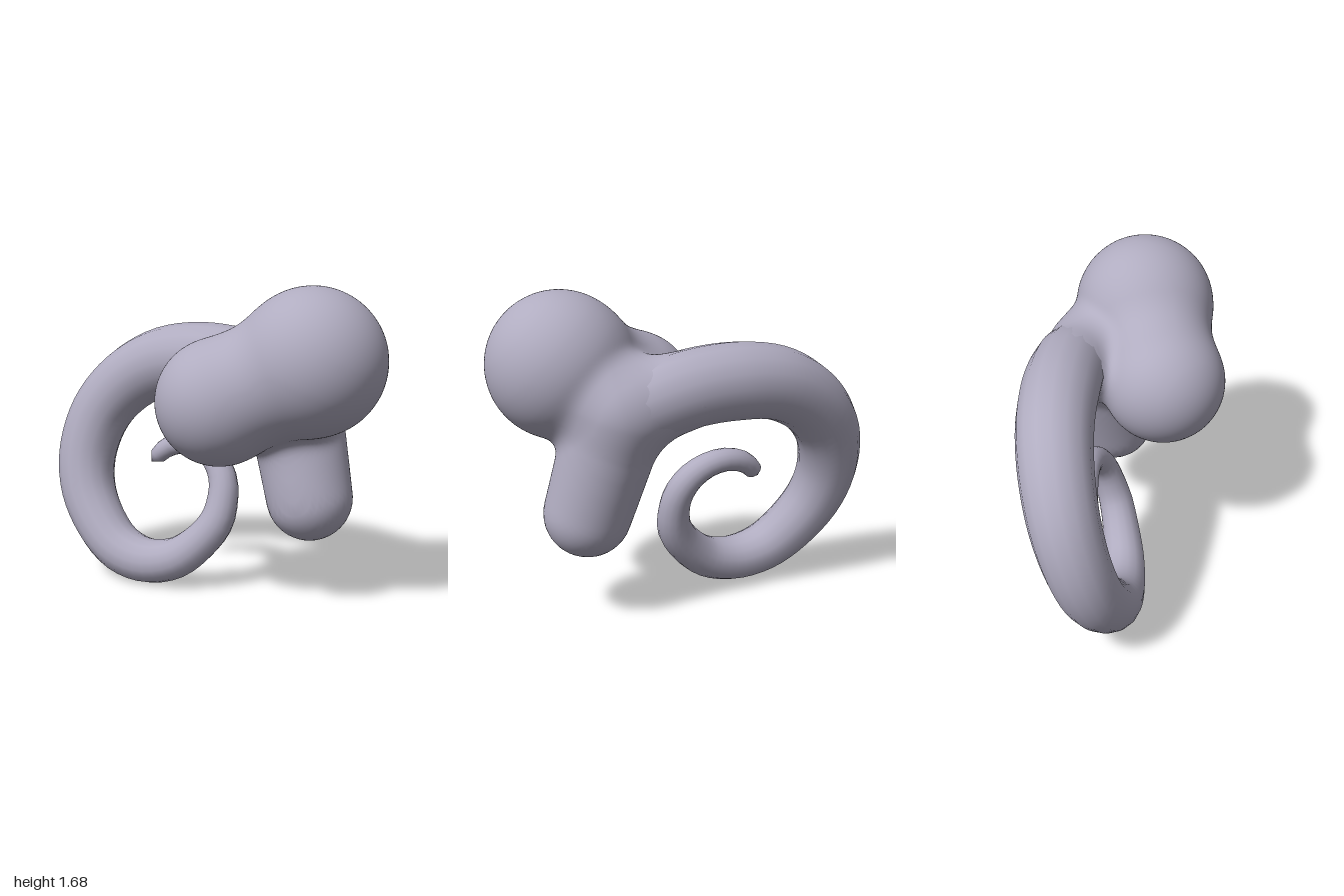
import * as THREE from 'three';
import { mergeVertices } from 'three/addons/utils/BufferGeometryUtils.js';

const V = (x, y, z) => new THREE.Vector3(x, y, z);

// Limbs of the body: start, end, start radius, end radius, blend width
const LIMBS = [
  { a: V(0.63, 1.315, 0.05), b: V(0.63, 1.315, 0.05), ra: 0.37, rb: 0.37, k: 0 }, // upper lobe
  { a: V(0.19, 1.1, 0.19), b: V(0.19, 1.1, 0.19), ra: 0.31, rb: 0.31, k: 0.16 }, // front lobe
  { a: V(0.63, 1.31, 0.05), b: V(0.19, 1.1, 0.19), ra: 0.26, rb: 0.25, k: 0.16 }, // neck between them
  { a: V(0.56, 0.575, -0.12), b: V(0.42, 1.1, -0.2), ra: 0.225, rb: 0.25, k: 0.1 }, // lower lobe
  { a: V(0.4, 1.12, -0.2), b: V(0.08, 1.21, -0.295), ra: 0.23, rb: 0.197, k: 0.1 }, // tail root
];

// Distance to a rounded limb whose radius changes along its length
function limbDistance(p, { a, b, ra, rb }) {
  const ab = b.clone().sub(a);
  const ap = p.clone().sub(a);
  const t = THREE.MathUtils.clamp(ap.dot(ab) / (ab.lengthSq() || 1), 0, 1);
  return ap.addScaledVector(ab, -t).length() - THREE.MathUtils.lerp(ra, rb, t);
}

// Distance to all limbs, softly blended together
function bodyDistance(p) {
  let d = Infinity;
  for (const limb of LIMBS) {
    const e = limbDistance(p, limb);
    const h = limb.k ? Math.max(limb.k - Math.abs(d - e), 0) : 0;
    d = Math.min(d, e) - (limb.k ? (h * h) / (4 * limb.k) : 0);
  }
  return d;
}

// Recompute smooth normals across seams
function smooth(geometry) {
  geometry.deleteAttribute('uv');
  geometry.deleteAttribute('normal');
  const merged = mergeVertices(geometry, 1e-5);
  merged.computeVertexNormals();
  return merged;
}

// A sphere shrunk inward until it wraps the blended limbs
function bodyGeometry() {
  const geometry = smooth(new THREE.IcosahedronGeometry(1, 30));
  const centre = V(0.42, 1.1, -0.02);
  const pos = geometry.attributes.position;
  const dir = V(0, 0, 0);
  const p = V(0, 0, 0);
  for (let i = 0; i < pos.count; i++) {
    dir.fromBufferAttribute(pos, i).normalize();
    let r = 1.2;
    for (let n = 0; n < 60; n++) {
      const d = bodyDistance(p.copy(centre).addScaledVector(dir, r));
      if (d < 0.0005) break;
      r -= d * 0.95;
    }
    pos.setXYZ(i, p.x, p.y, p.z);
  }
  geometry.computeVertexNormals();
  return geometry;
}

// Spiral tail: x, y and radius along a leaning plane
const TAIL = [
  [0.4, 1.12, 0.19], [0.1, 1.21, 0.197], [-0.18, 1.23, 0.2], [-0.42, 1.193, 0.193],
  [-0.63, 1.075, 0.184], [-0.78, 0.89, 0.175], [-0.835, 0.66, 0.165], [-0.795, 0.46, 0.156],
  [-0.675, 0.285, 0.146], [-0.53, 0.17, 0.136], [-0.35, 0.127, 0.125], [-0.17, 0.165, 0.113],
  [-0.03, 0.275, 0.1], [0.05, 0.39, 0.093], [0.068, 0.5, 0.084], [0.055, 0.605, 0.078],
  [-0.005, 0.7, 0.072], [-0.095, 0.758, 0.066], [-0.2, 0.775, 0.062], [-0.31, 0.742, 0.057],
  [-0.405, 0.65, 0.042],
];

function tailGeometry() {
  const curve = new THREE.CatmullRomCurve3(TAIL.map(([x, y]) => V(x, y, 0.065 - 0.3 * y)));
  const segments = 72;
  const sides = 16;
  const geometry = new THREE.TubeGeometry(curve, segments, 1, sides);
  const pos = geometry.attributes.position;
  const v = V(0, 0, 0);
  for (let i = 0; i <= segments; i++) {
    const u = i / segments;
    const c = curve.getPointAt(u);
    const t = curve.getUtoTmapping(u) * (TAIL.length - 1);
    const n = Math.min(Math.floor(t), TAIL.length - 2);
    // the last ring collapses to close the blunt tip
    const radius = i === segments ? 0 : THREE.MathUtils.lerp(TAIL[n][2], TAIL[n + 1][2], t - n);
    for (let j = 0; j <= sides; j++) {
      const k = i * (sides + 1) + j;
      v.fromBufferAttribute(pos, k).sub(c).multiplyScalar(radius).add(c);
      pos.setXYZ(k, v.x, v.y, v.z);
    }
  }
  return smooth(geometry);
}

export function createModel() {
  const clay = new THREE.MeshStandardMaterial({ color: 0xb0acc0 });
  clay.name = 'lavender grey';
  const group = new THREE.Group();
  group.name = 'curledCreature';
  const add = (name, geometry) => {
    const mesh = new THREE.Mesh(geometry, clay);
    mesh.name = name;
    group.add(mesh);
  };
  add('body', bodyGeometry());
  add('spiralTail', tailGeometry());
  return group;
}
